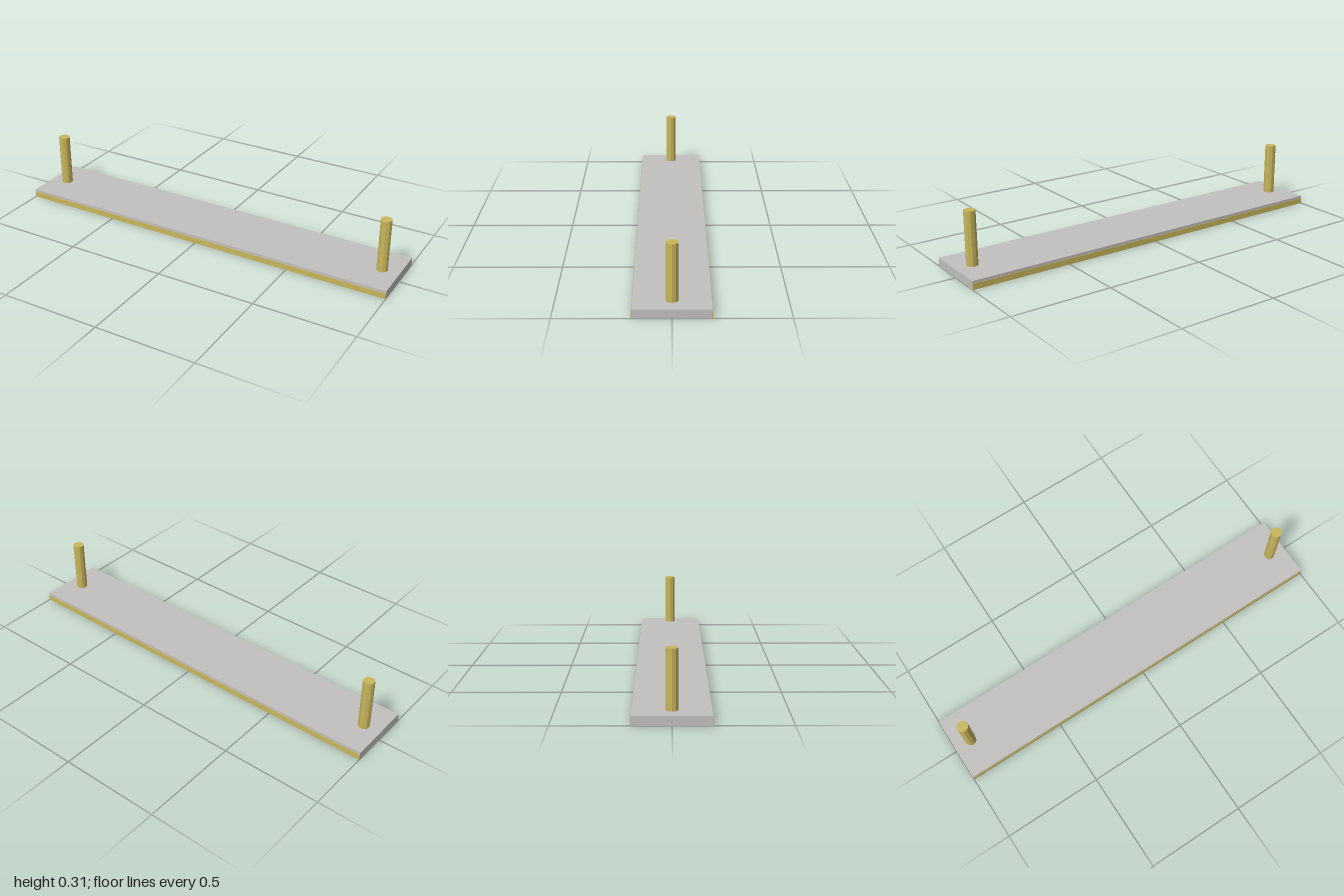
import * as THREE from 'three';

export function createModel() {
  const group = new THREE.Group();
  const stone = new THREE.MeshStandardMaterial({ color: 0xc3c1bf, flatShading: true });
  stone.name = 'pale grey';
  const brass = new THREE.MeshStandardMaterial({ color: 0xc9b65c, flatShading: true });
  brass.name = 'brass';

  const add = (name, geometry, material, x, y, z) => {
    const mesh = new THREE.Mesh(geometry, material);
    mesh.name = name;
    mesh.position.set(x, y, z);
    group.add(mesh);
  };

  // Long flat slab
  add('slab', new THREE.BoxGeometry(2, 0.042, 0.334), stone, 0, 0.021, 0);

  // Trim strips let into the lower part of both long edges
  for (const [name, s] of [['frontTrim', 1], ['backTrim', -1]]) {
    add(name, new THREE.BoxGeometry(2, 0.028, 0.006), brass, 0, 0.0145, s * 0.1665);
  }

  // Ten-sided post near each end, with corners pointing along x
  const post = new THREE.CylinderGeometry(0.028, 0.028, 0.265, 10).rotateY(Math.PI / 2);
  for (const [name, s] of [['leftPost', 1], ['rightPost', -1]]) {
    add(name, post, brass, s * 0.914, 0.1735, 0);
  }
  return group;
}
